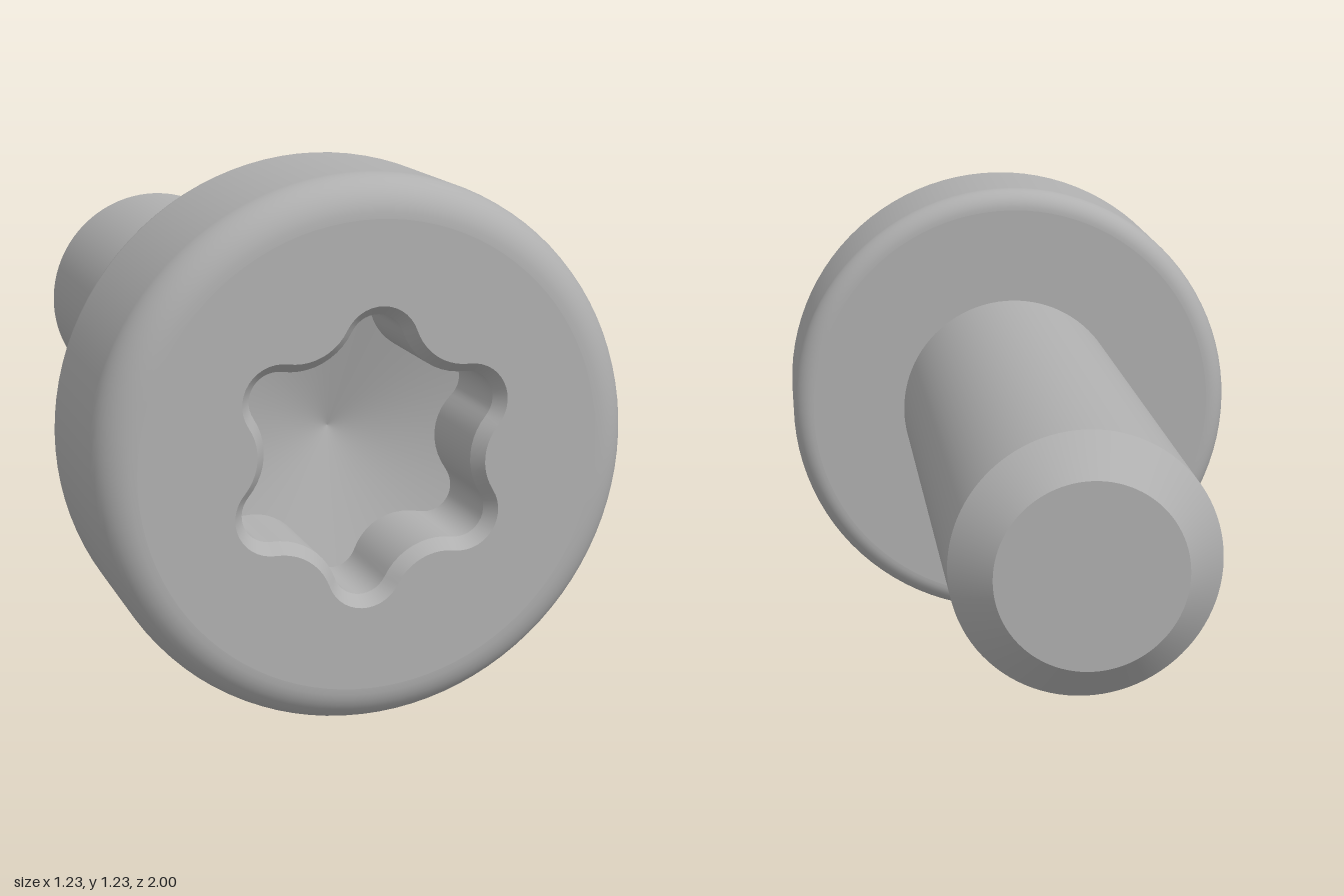
import * as THREE from 'three';

const CENTER_Y = 0.614;
const HEAD_R = 0.613, HEAD_BACK = 0.54, FRONT_FILLET = 0.09, BACK_FILLET = 0.055;
const SHANK_R = 0.305, TIP_R = 0.215, TIP_Z = -0.91;
const SEGMENTS = 96;
const deg = Math.PI / 180;

// Closed six-lobed outline made of tangent arcs; grow offsets it outward
function lobeOutline(grow) {
  const lobeR = 0.063, valleyR = 0.145;
  const lobeC = 0.25, valleyC = 0.238 + valleyR;
  const sweep = Math.atan2(valleyC * 0.5, valleyC * Math.cos(30 * deg) - lobeC);
  const points = [];
  const arc = (dist, dir, radius, from, to, steps) => {
    for (let i = 0; i < steps; i++) {
      const t = from + (to - from) * i / steps;
      points.push(new THREE.Vector2(
        dist * Math.cos(dir) + radius * Math.cos(t),
        dist * Math.sin(dir) + radius * Math.sin(t)));
    }
  };
  for (let k = 0; k < 6; k++) {
    const a = (86.5 + 60 * k) * deg;
    arc(lobeC, a, lobeR + grow, a - sweep, a + sweep, 14);
    arc(valleyC, a + 30 * deg, valleyR - grow, a + sweep + Math.PI, a + 60 * deg - sweep + Math.PI, 10);
  }
  return points;
}

// Inward-facing surface between closed rings, ordered front to back
function loft(rings) {
  const n = rings[0].length, index = [];
  for (let r = 0; r < rings.length - 1; r++) {
    for (let i = 0; i < n; i++) {
      const a = r * n + i, b = r * n + (i + 1) % n;
      index.push(a, b, a + n, b, b + n, a + n);
    }
  }
  const geometry = new THREE.BufferGeometry().setFromPoints(rings.flat());
  geometry.setIndex(index);
  geometry.computeVertexNormals();
  return geometry;
}

export function createModel() {
  const model = new THREE.Group();
  model.name = 'screw';
  const steel = new THREE.MeshStandardMaterial({ color: 0xb0b0b0 });
  steel.name = 'grey steel';

  const add = (name, geometry) => {
    const mesh = new THREE.Mesh(geometry, steel);
    mesh.name = name;
    mesh.position.y = CENTER_Y;
    model.add(mesh);
  };
  // Turned surface along z from [radius, z] pairs, ordered back to front
  const turn = (name, profile) => add(name, new THREE.LatheGeometry(
    profile.map(([r, z]) => new THREE.Vector2(r, z)), SEGMENTS).rotateX(Math.PI / 2));

  // Shank, with chamfered tip
  turn('tipFace', [[0, -1], [TIP_R, -1]]);
  turn('tipChamfer', [[TIP_R, -1], [SHANK_R, TIP_Z]]);
  turn('shank', [[SHANK_R, TIP_Z], [SHANK_R, HEAD_BACK]]);

  // Head, with rounded rims
  const rim = [];
  const fillet = (radius, z, from) => {
    for (let i = 0; i <= 10; i++) {
      const t = (from + 9 * i) * deg;
      rim.push([HEAD_R - radius + radius * Math.cos(t), z + radius * Math.sin(t)]);
    }
  };
  fillet(BACK_FILLET, HEAD_BACK + BACK_FILLET, -90);
  fillet(FRONT_FILLET, 1 - FRONT_FILLET, 0);
  turn('headBack', [[SHANK_R, HEAD_BACK], [HEAD_R - BACK_FILLET, HEAD_BACK]]);
  turn('headRim', rim);

  // Front face with the socket opening
  const inner = lobeOutline(0), outer = lobeOutline(0.023);
  const face = new THREE.Shape().absarc(0, 0, HEAD_R - FRONT_FILLET, 0, Math.PI * 2);
  face.holes.push(new THREE.Path(outer));
  add('headFace', new THREE.ShapeGeometry(face, SEGMENTS / 2).translate(0, 0, 1));

  // Socket: chamfer, straight wall and conical floor
  const at = (points, z) => points.map(p => new THREE.Vector3(p.x, p.y, z));
  const floor = scale => inner.map(p => new THREE.Vector3(
    p.x * scale, p.y * scale, 0.69 + 0.28 * scale * p.length()));
  add('socketChamfer', loft([at(outer, 1), at(inner, 0.97)]));
  add('socketWall', loft([at(inner, 0.97), floor(1)]));
  add('socketFloor', loft([floor(1), floor(0.5), floor(0)]));

  return model;
}
